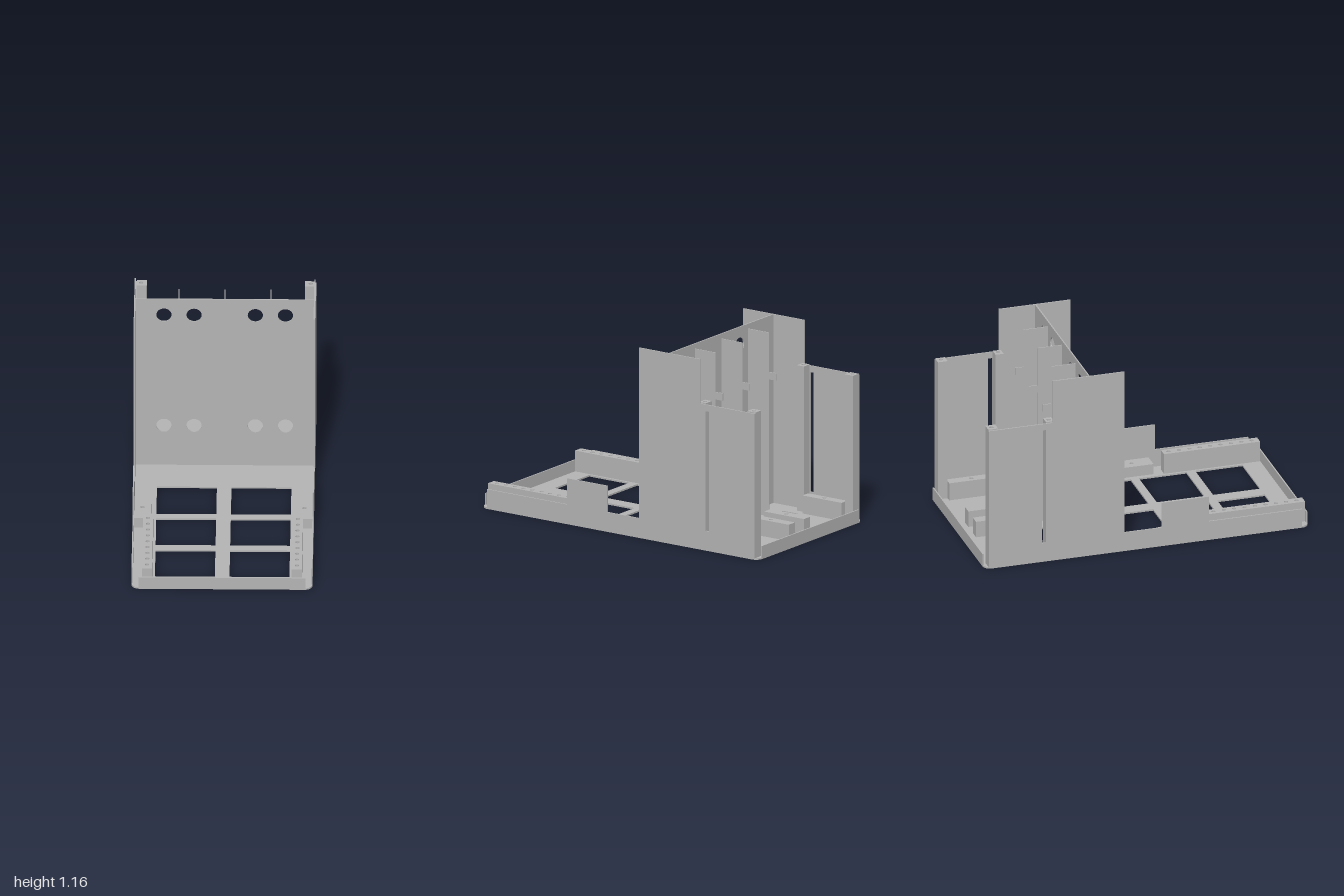
import * as THREE from 'three';

const W = 0.532;   // half width
const T = 0.008;   // sheet thickness
const FLOOR = 0.01;

function polygon(points) {
  return new THREE.Shape(points.map(([x, y]) => new THREE.Vector2(x, y)));
}

function rect(x0, y0, x1, y1) {
  return polygon([[x0, y0], [x1, y0], [x1, y1], [x0, y1]]);
}

function circle(x, y, r) {
  const path = new THREE.Path();
  path.absarc(x, y, r, 0, Math.PI * 2, true);
  return path;
}

function extrude(shape, depth) {
  return new THREE.ExtrudeGeometry(shape, { depth, bevelEnabled: false, curveSegments: 16 });
}

export function createModel() {
  const model = new THREE.Group();
  model.name = 'chassis';
  const grey = new THREE.MeshStandardMaterial({ color: 0xb4b4b4 });
  grey.name = 'grey';

  function add(name, geometry, x = 0, y = 0, z = 0) {
    const mesh = new THREE.Mesh(geometry, grey);
    mesh.name = name;
    mesh.position.set(x, y, z);
    model.add(mesh);
    return mesh;
  }

  // Upright block with screw holes in its top; x and z ranges, holes as [x, z]
  function block(name, x0, x1, z0, z1, top, holes) {
    const shape = rect(Math.min(x0, x1), -z1, Math.max(x0, x1), -z0);
    for (const [x, z] of holes) shape.holes.push(circle(x, -z, 0.012));
    add(name, extrude(shape, top - FLOOR).rotateX(-Math.PI / 2), 0, FLOOR, 0);
  }

  // Vertical sheet drawn in z, y and centred on x
  function sideSheet(name, shape, x, thickness) {
    add(name, extrude(shape, thickness).rotateY(-Math.PI / 2), x + thickness / 2);
  }

  // Floor with rounded corners and windows
  const r = 0.045;
  const floor = new THREE.Shape();
  floor.absarc(W - r, 1 - r, r, 0, Math.PI / 2);
  floor.absarc(-W + r, 1 - r, r, Math.PI / 2, Math.PI);
  floor.absarc(-W + r, -1 + r, r, Math.PI, Math.PI * 1.5);
  floor.absarc(W - r, -1 + r, r, Math.PI * 1.5, Math.PI * 2);
  const windows = [
    [0.043, 0.395, -0.11, 0.19], [0.043, 0.395, 0.24, 0.532],
    [0.043, 0.395, 0.587, 0.877], [0.045, 0.415, -0.615, -0.507],
  ];
  for (const [x0, x1, z0, z1] of windows) {
    floor.holes.push(rect(x0, -z1, x1, -z0), rect(-x1, -z1, -x0, -z0));
  }
  add('floor', extrude(floor, FLOOR).rotateX(-Math.PI / 2));

  // Front and back lips
  for (const [name, z] of [['frontLip', 1 - T / 2], ['backLip', -1 + T / 2]]) {
    add(name, new THREE.BoxGeometry(0.98, 0.08 - FLOOR, T), 0, (0.08 + FLOOR) / 2, z);
  }

  // Partition with cable holes
  const partition = rect(-W + T, FLOOR, W - T, 1.16);
  for (const x of [-0.357, -0.18, 0.18, 0.357]) {
    for (const y of [0.284, 1.05]) partition.holes.push(circle(x, y, 0.045));
  }
  add('partition', extrude(partition, T), 0, 0, -0.355 - T / 2);

  // Fins behind the partition, each with a small tab
  for (const x of [-0.27, 0, 0.27]) {
    const fin = polygon([
      [-0.355, FLOOR], [-0.355, 1.13], [-0.51, 1.13], [-0.51, 0.89],
      [-0.56, 0.89], [-0.56, 0.845], [-0.51, 0.845], [-0.51, FLOOR],
    ]);
    sideSheet('fin', fin, x, 0.006);
  }

  for (const s of [1, -1]) {
    const side = s > 0 ? 'left' : 'right';

    // Stepped side wall with a tall slot
    const wall = polygon([
      [0.955, FLOOR], [0.955, 0.12], [0.38, 0.12], [0.38, 0.28], [0.09, 0.28],
      [0.09, 0.12], [-0.14, 0.12], [-0.14, 1.16], [-0.58, 1.16], [-0.58, 0.89],
      [-0.975, 0.89], [-0.975, FLOOR],
    ]);
    wall.holes.push(rect(-0.647, 0.12, -0.622, 0.85));
    sideSheet(side + 'Wall', wall, s * (W - T / 2), T);

    // Front rail with a row of screw holes
    const holes = [];
    for (let i = 0; i < 9; i++) holes.push([s * 0.44, 0.437 + i * 0.064]);
    block(side + 'Rail', s * 0.41, s * 0.47, 0.4, 1 - T, 0.137, holes);

    // Low bracket beside the floor windows
    block(side + 'Bracket', s * 0.425, s * (W - T), 0.1, 0.34, 0.075, [[s * 0.475, 0.22]]);

    // Rear floor blocks
    block(side + 'InnerBlock', s * 0.045, s * 0.108, -0.92, -0.632, 0.11, [[s * 0.077, -0.77]]);
    block(side + 'OuterBlock', s * 0.433, s * 0.491, -0.915, -0.632, 0.12, [[s * 0.463, -0.77]]);

    // Tall mounting posts
    block(side + 'RearPost', s * 0.465, s * (W - T), -0.975, -0.915, 0.897, [[s * 0.498, -0.947]]);
    block(side + 'MiddlePost', s * 0.465, s * (W - T), -0.62, -0.57, 0.897, [[s * 0.498, -0.595]]);
  }

  return model;
}
